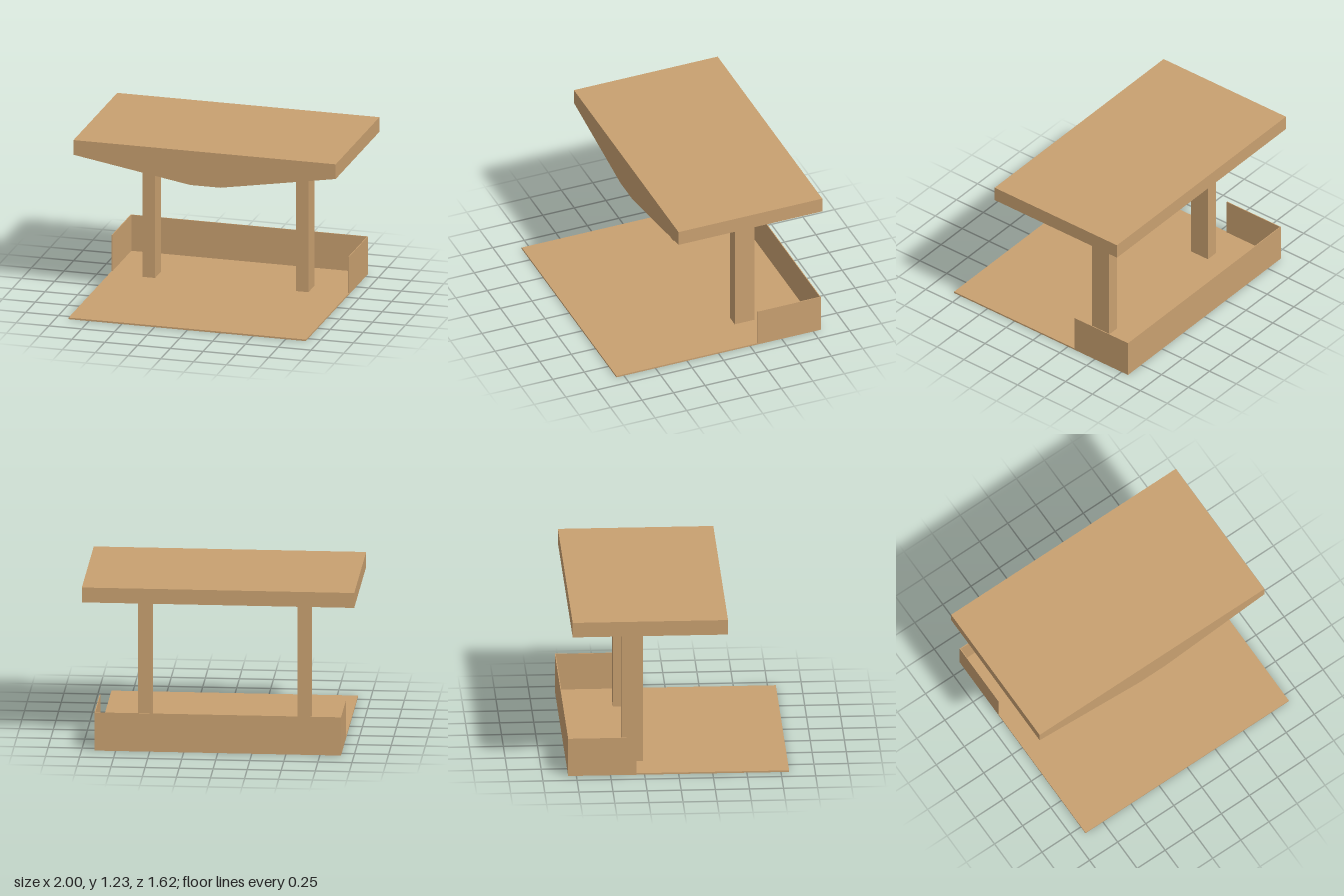
import * as THREE from 'three';

const T = 0.006; // sheet thickness

export function createModel() {
  const model = new THREE.Group();
  model.name = 'shelter';
  const wood = new THREE.MeshStandardMaterial({ color: 0xc8a070 });
  wood.name = 'tan wood';

  // Box given by its lower and upper limits on each axis
  function box(name, parent, [x0, x1], [y0, y1], [z0, z1]) {
    const mesh = new THREE.Mesh(new THREE.BoxGeometry(x1 - x0, y1 - y0, z1 - z0), wood);
    mesh.position.set((x0 + x1) / 2, (y0 + y1) / 2, (z0 + z1) / 2);
    mesh.name = name;
    parent.add(mesh);
  }
  function group(name) {
    const g = new THREE.Group();
    g.name = name;
    model.add(g);
    return g;
  }

  // Floor with a low wall around its back
  const base = group('base');
  const bx = 0.905, bz = 0.81, wallTop = 0.29, wallFront = -0.31;
  box('floor', base, [-bx, bx], [0, 0.012], [-bz, bz]);
  box('backWall', base, [-bx, bx], [0.012, wallTop], [-bz, -bz + T]);
  box('rightWall', base, [-bx, -bx + T], [0.012, wallTop], [-bz + T, wallFront]);
  box('leftWall', base, [bx - T, bx], [0.012, wallTop], [-bz + T, wallFront]);

  // Hollow roof, open below
  const roof = group('roof');
  const top = 1.228, rim = 1.115, back = -0.782, front = 0.357;
  const under = top - T;
  box('roofSheet', roof, [-1, 1], [under, top], [back, front - T]);
  box('roofBack', roof, [-1, 1], [rim, under], [back, back + T]);
  for (const [name, x] of [['roofRight', -1], ['roofLeft', 1 - T]]) {
    box(name, roof, [x, x + T], [rim, under], [back + T, front - T]);
  }

  // Tapered front fascia
  const outline = [[-1, top], [-1, rim], [-0.11, 0.965], [0.12, 0.965], [1, rim], [1, top]];
  const fascia = new THREE.Mesh(
    new THREE.ExtrudeGeometry(new THREE.Shape(outline.map(([x, y]) => new THREE.Vector2(x, y))),
      { depth: T, bevelEnabled: false }), wood);
  fascia.position.z = front - T;
  fascia.name = 'fascia';
  roof.add(fascia);

  // Posts, each carrying a channel rail that is open below
  for (const [side, x0, x1] of [['right', -0.65, -0.555], ['left', 0.52, 0.615]]) {
    const support = group(side + 'Support');
    const railZ = [-0.72, 0.065], railBottom = 1.185;
    box('post', support, [x0, x1], [0.012, railBottom], [-0.405, -0.248]);
    box('railWeb', support, [x0, x1], [under - T, under], railZ);
    box('railOuterFlange', support, [x0, x0 + T], [railBottom, under - T], railZ);
    box('railInnerFlange', support, [x1 - T, x1], [railBottom, under - T], railZ);
  }
  return model;
}
